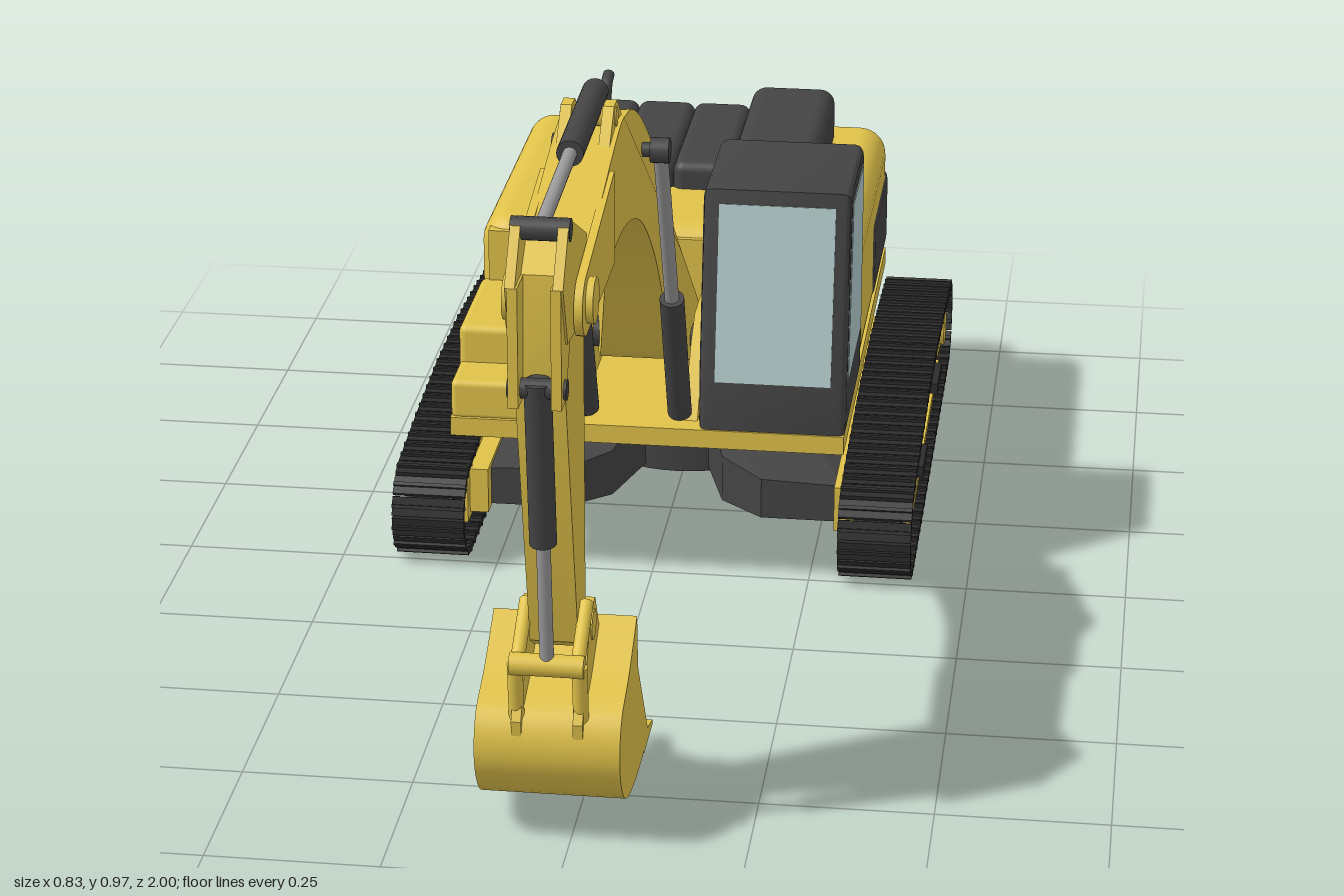
import * as THREE from 'three';
import { mergeGeometries, toCreasedNormals } from 'three/addons/utils/BufferGeometryUtils.js';
import { RoundedBoxGeometry } from 'three/addons/geometries/RoundedBoxGeometry.js';
import { ConvexGeometry } from 'three/addons/geometries/ConvexGeometry.js';

const mat = (color) => new THREE.MeshStandardMaterial({ color, side: THREE.DoubleSide });
const YELLOW = mat(0xe0c24a), DARK = mat(0x444444), BLACK = mat(0x2c2c2c), STEEL = mat(0x999999), GLASS = mat(0xb4cccc);
const CX = -0.027; // centre plane of the digging arm
const V = (x, y, z) => new THREE.Vector3(x, y, z);

export function createModel() {
  const root = new THREE.Group();
  const add = (name, geo, m, parent = root) => {
    const mesh = new THREE.Mesh(geo, m);
    mesh.name = name;
    parent.add(mesh);
    return mesh;
  };
  // Box given by its limits on each axis, optionally rounded
  const boxGeo = (x0, x1, y0, y1, z0, z1, r = 0) => {
    const s = [x1 - x0, y1 - y0, z1 - z0];
    const g = r ? new RoundedBoxGeometry(...s, 4, r) : new THREE.BoxGeometry(...s);
    return g.translate((x0 + x1) / 2, (y0 + y1) / 2, (z0 + z1) / 2);
  };
  const box = (name, m, ...a) => add(name, boxGeo(...a), m);
  // Side profile of [z, y] points extruded across x
  const sideGeo = (pts, x0, x1, bevel = 0, hole = null) => {
    const shape = new THREE.Shape(pts.map((p) => new THREE.Vector2(...p)));
    if (hole) shape.holes.push(new THREE.Path(hole.map((p) => new THREE.Vector2(...p))));
    const g = new THREE.ExtrudeGeometry(shape, {
      depth: x1 - x0 - 2 * bevel, bevelEnabled: bevel > 0, bevelSize: bevel,
      bevelThickness: bevel, bevelOffset: -bevel, bevelSegments: 3,
    });
    return toCreasedNormals(g.rotateY(-Math.PI / 2).translate(x1 - bevel, 0, 0), 0.5);
  };
  const side = (name, m, ...a) => add(name, sideGeo(...a), m);
  const spline = (pts, n) => new THREE.SplineCurve(pts.map((p) => new THREE.Vector2(...p))).getPoints(n).map((p) => [p.x, p.y]);
  // Round bar between two points
  const bar = (name, m, a, b, r, parent = root) => {
    const mesh = add(name, new THREE.CylinderGeometry(r, r, a.distanceTo(b), 20), m, parent);
    mesh.position.copy(a).add(b).multiplyScalar(0.5);
    mesh.quaternion.setFromUnitVectors(V(0, 1, 0), b.clone().sub(a).normalize());
    return mesh;
  };
  const pin = (name, m, x0, x1, y, z, r, parent) => bar(name, m, V(x0, y, z), V(x1, y, z), r, parent);

  // ---- Crawler tracks ----
  const beltPath = (r, top) => {
    const p = [];
    for (let i = 0; i <= 12; i++) { // front idler, bottom to top
      const a = -Math.PI / 2 + (i / 12) * Math.PI * 0.97;
      p.push([-0.04 + r * Math.cos(a), 0.083 + r * Math.sin(a)]);
    }
    p.push([-0.2, top - 0.012], [-0.38, top], [-0.58, top], [-0.76, top - 0.012]);
    for (let i = 0; i <= 12; i++) { // rear sprocket, top to bottom
      const a = Math.PI * 0.53 + (i / 12) * Math.PI * 0.97;
      p.push([-0.92 + r * Math.cos(a), 0.083 + r * Math.sin(a)]);
    }
    return p;
  };
  const shoeGeometry = (x0, x1) => {
    const path = new THREE.CurvePath(), p = beltPath(0.071, 0.182).map((q) => new THREE.Vector2(...q));
    p.forEach((q, i) => path.add(new THREE.LineCurve(q, p[(i + 1) % p.length])));
    const shoes = [], n = 66;
    for (let i = 0; i < n; i++) {
      const c = path.getPointAt(i / n), d = path.getPointAt(((i + 0.3) % n) / n).sub(c);
      const g = mergeGeometries([boxGeo(x0, x1, -0.004, 0.004, -0.0155, 0.0155), boxGeo(x0, x1, -0.009, 0.009, -0.003, 0.003)]);
      shoes.push(g.rotateX(-Math.atan2(d.y, d.x)).translate(0, c.y, c.x));
    }
    return mergeGeometries(shoes);
  };
  for (const s of [1, -1]) {
    const g = new THREE.Group();
    g.name = s > 0 ? 'leftTrack' : 'rightTrack';
    const span = (a, b) => (s > 0 ? [a, b] : [-b, -a]);
    add('trackShoes', shoeGeometry(...span(0.297, 0.413)), BLACK, g);
    add('trackChain', sideGeo(beltPath(0.068, 0.178), ...span(0.325, 0.385), 0, beltPath(0.055, 0.164)), DARK, g);
    const frame = [[-0.08, 0.035], [-0.08, 0.12], [-0.1, 0.128], [-0.83, 0.128], [-0.86, 0.115], [-0.86, 0.035]];
    add('trackFrame', sideGeo(frame, ...span(0.31, 0.385)), YELLOW, g);
    add('frameInnerWall', boxGeo(...span(0.28, 0.31), 0.045, 0.12, -0.85, -0.1), YELLOW, g);
    for (const y of [0.04, 0.118]) add('frameRail', boxGeo(...span(0.38, 0.4), y - 0.007, y + 0.007, -0.84, -0.09), YELLOW, g);
    for (const z of [-0.31, -0.665]) add('step', boxGeo(...span(0.38, 0.412), 0.075, 0.093, z - 0.048, z + 0.048), BLACK, g);
    for (const z of [-0.3, -0.62]) pin('carrierRoller', BLACK, ...span(0.32, 0.39), 0.145, z, 0.02, g);
    for (let i = 0; i < 8; i++) pin('trackRoller', BLACK, ...span(0.325, 0.385), 0.036, -0.14 - i * 0.093, 0.02, g);
    pin('idler', DARK, ...span(0.32, 0.392), 0.083, -0.04, 0.056, g);
    pin('sprocketHub', YELLOW, ...span(0.31, 0.405), 0.083, -0.92, 0.037, g);
    const teeth = [];
    for (let i = 0; i < 48; i++) {
      const a = (i / 48) * Math.PI * 2, r = i % 4 < 2 ? 0.06 : 0.05;
      teeth.push([-0.92 + r * Math.cos(a), 0.083 + r * Math.sin(a)]);
    }
    add('sprocket', sideGeo(teeth, ...span(0.33, 0.396)), YELLOW, g);
    root.add(g);
    // Sloped arms joining the centre ring to the track frame
    for (const f of [1, -1]) {
      const at = (x, y, dz) => V(s * x, y, -0.49 + f * dz);
      const plan = [[0.29, 0.36, 0.11], [0.16, 0.36, 0.115], [0.09, 0.3, 0.125], [0.05, 0.16, 0.16], [0.16, 0.05, 0.16], [0.29, 0.17, 0.11]];
      add('carBodyArm', new ConvexGeometry(plan.flatMap(([x, dz, top]) => [at(x, 0.048, dz), at(x, top, dz)])), DARK);
    }
  }

  // ---- Slewing ring, hollow in the middle ----
  const ring = [[0.155, 0.04], [0.175, 0.04], [0.185, 0.165], [0.23, 0.168], [0.23, 0.19], [0.21, 0.192], [0.21, 0.235], [0.25, 0.237], [0.25, 0.252], [0.155, 0.252], [0.155, 0.04]];
  const ringGeo = new THREE.LatheGeometry(ring.map((p) => new THREE.Vector2(...p)), 48);
  add('slewingRing', toCreasedNormals(ringGeo, 0.5), DARK).position.z = -0.49;

  // ---- Upper structure ----
  box('deck', YELLOW, -0.31, 0.307, 0.25, 0.28, -0.77, 0.065);
  box('house', YELLOW, -0.31, 0.305, 0.255, 0.503, -0.79, -0.225, 0.045);
  box('houseFront', YELLOW, -0.295, 0.295, 0.27, 0.485, -0.3, -0.225);
  box('rearPanel', DARK, -0.312, 0.308, 0.28, 0.43, -0.793, -0.49, 0.025);
  box('lowerStep', YELLOW, -0.31, -0.14, 0.275, 0.34, -0.24, 0.06, 0.01);
  box('upperStep', YELLOW, -0.31, -0.13, 0.275, 0.4, -0.24, -0.02, 0.012);
  for (const x of [-0.13, 0.055]) side('boomFootBracket', YELLOW, [[-0.23, 0.28], [0.03, 0.28], [-0.05, 0.38], [-0.1, 0.41], [-0.23, 0.41]], x, x + 0.02);
  for (let i = 0; i < 3; i++) box('engineCover', DARK, -0.21 + i * 0.095, -0.113 + i * 0.095, 0.48, 0.548, -0.73, -0.41, 0.018);
  box('engineCoverBase', DARK, -0.205, 0.07, 0.49, 0.535, -0.72, -0.42, 0.012);
  box('airIntakeCover', DARK, 0.08, 0.22, 0.47, 0.583, -0.73, -0.34, 0.025);
  for (const [x, z, r, y] of [[-0.163, -0.325, 0.036, 0.553], [0.155, -0.29, 0.028, 0.57]]) {
    bar('fillerNeck', DARK, V(x, 0.49, z), V(x, y - 0.02, z), r * 0.75);
    bar('fillerCap', DARK, V(x, y - 0.025, z), V(x, y, z), r);
  }
  const pipe = new THREE.CatmullRomCurve3([V(-0.165, 0.52, -0.66), V(-0.165, 0.57, -0.662), V(-0.165, 0.59, -0.675), V(-0.165, 0.598, -0.7)]);
  add('exhaust', new THREE.TubeGeometry(pipe, 16, 0.01, 12), DARK);

  // ---- Cab ----
  side('cab', DARK, [[-0.225, 0.275], [0.062, 0.275], [0.062, 0.35], [0.006, 0.658], [-0.225, 0.658]], 0.08, 0.309, 0.014);
  for (const x of [0.0785, 0.3065]) side('sideWindow', GLASS, [[-0.2, 0.36], [0.036, 0.36], [-0.014, 0.635], [-0.2, 0.635]], x, x + 0.004);
  const screen = add('windscreen', new THREE.BoxGeometry(0.18, 0.28, 0.006), GLASS);
  screen.position.set(0.195, 0.4975, 0.034);
  screen.rotation.x = -Math.atan2(0.056, 0.308);
  box('rearWindow', GLASS, 0.11, 0.28, 0.5, 0.63, -0.228, -0.22);

  // ---- Boom, flared at its foot ----
  const upper = spline([[0.8, 0.852], [0.515, 0.918], [0.42, 0.917], [0.35, 0.9], [0.25, 0.85], [0.14, 0.775], [0.06, 0.7], [0, 0.625], [-0.09, 0.5], [-0.185, 0.37]], 40);
  const lower = spline([[-0.16, 0.32], [-0.1, 0.33], [-0.03, 0.42], [0.03, 0.5], [0.11, 0.585], [0.22, 0.67], [0.33, 0.725], [0.46, 0.757], [0.6, 0.76], [0.76, 0.76]], 40);
  const boomGeo = sideGeo([...upper, ...lower], CX - 0.045, CX + 0.045);
  const pos = boomGeo.attributes.position;
  for (let i = 0; i < pos.count; i++) {
    const k = 1 + 0.9 * THREE.MathUtils.clamp((0.02 - pos.getZ(i)) / 0.2, 0, 1);
    pos.setX(i, CX + (pos.getX(i) - CX) * k);
  }
  add('boom', toCreasedNormals(boomGeo, 0.5), YELLOW);
  pin('boomFootPin', DARK, -0.13, 0.075, 0.355, -0.14, 0.025);
  const noseArc = Array.from({ length: 11 }, (_, i) => {
    const a = -Math.PI / 2 + (i / 10) * Math.PI;
    return [0.872 + 0.043 * Math.cos(a), 0.803 + 0.043 * Math.sin(a)];
  });
  for (const s of [1, -1]) {
    const slab = (name, pts, d0, d1) => side(name, YELLOW, pts, CX + Math.min(s * d0, s * d1), CX + Math.max(s * d0, s * d1));
    slab('boomFork', [...noseArc, [0.6, 0.895], [0.6, 0.76]], 0.04, 0.052);
    slab('armCylinderBracket', [[0.56, 0.9], [0.5, 0.955], [0.47, 0.955], [0.4, 0.9]], 0.022, 0.038);
    slab('stickTopPlate', [[0.78, 0.87], [0.92, 0.94], [0.945, 0.938], [0.998, 0.87], [0.96, 0.78], [0.8, 0.76]], 0.025, 0.039);
    slab('bucketCylinderBracket', [[0.998, 0.87], [0.998, 0.7], [0.96, 0.7], [0.9, 0.8], [0.92, 0.87]], 0.022, 0.036);
    slab('bucketEar', [[0.75, 0.26], [0.795, 0.335], [0.84, 0.335], [0.925, 0.2], [0.92, 0.15], [0.84, 0.2]], 0.036, 0.05);
    bar('bucketLink', YELLOW, V(CX + s * 0.045, 0.285, 0.915), V(CX + s * 0.045, 0.17, 0.9), 0.011);
    bar('stickLink', YELLOW, V(CX + s * 0.042, 0.285, 0.915), V(CX + s * 0.042, 0.34, 0.825), 0.01);
    // Boom lift cylinders
    const x = CX + s * 0.073;
    bar('liftCylinder', DARK, V(x, 0.29, 0.02), V(x, 0.52, 0.122), 0.019);
    bar('liftRod', STEEL, V(x, 0.51, 0.118), V(x, 0.81, 0.262), 0.011);
    pin('liftRodEye', DARK, x - 0.014, x + 0.014, 0.808, 0.261, 0.019);
  }
  pin('liftPin', DARK, CX - 0.085, CX + 0.085, 0.808, 0.261, 0.011);
  pin('forkPin', YELLOW, CX - 0.062, CX + 0.062, 0.803, 0.855, 0.032);

  // ---- Stick ----
  side('stick', YELLOW, [[0.78, 0.86], [0.9, 0.905], [0.945, 0.87], [0.955, 0.72], [0.85, 0.29], [0.82, 0.27], [0.78, 0.29]], CX - 0.034, CX + 0.034);

  // ---- Arm and bucket cylinders ----
  bar('armCylinder', DARK, V(CX, 0.95, 0.42), V(CX, 0.943, 0.67), 0.019);
  bar('armRod', STEEL, V(CX, 0.943, 0.66), V(CX, 0.932, 0.93), 0.01);
  pin('armRodPin', DARK, CX - 0.04, CX + 0.04, 0.93, 0.93, 0.016);
  pin('armCylinderPin', YELLOW, CX - 0.04, CX + 0.04, 0.935, 0.485, 0.014);
  bar('bucketCylinder', DARK, V(CX, 0.73, 0.972), V(CX, 0.48, 0.938), 0.019);
  bar('bucketRod', STEEL, V(CX, 0.49, 0.938), V(CX, 0.285, 0.915), 0.01);
  pin('bucketCylinderPin', DARK, CX - 0.04, CX + 0.04, 0.72, 0.972, 0.014);
  pin('linkPin', YELLOW, CX - 0.052, CX + 0.052, 0.285, 0.915, 0.016);
  pin('linkLowerPin', YELLOW, CX - 0.052, CX + 0.052, 0.18, 0.9, 0.014);
  pin('bucketPin', YELLOW, CX - 0.052, CX + 0.052, 0.305, 0.82, 0.022);

  // ---- Bucket: curved shell, side plates and teeth ----
  const bx0 = CX - 0.102, bx1 = CX + 0.102;
  const outer = spline([[0.745, 0.285], [0.83, 0.235], [0.91, 0.2], [0.925, 0.13], [0.87, 0.062], [0.76, 0.036], [0.62, 0.036]], 32);
  const inner = spline([[0.745, 0.27], [0.825, 0.222], [0.895, 0.188], [0.908, 0.135], [0.862, 0.076], [0.76, 0.05], [0.63, 0.046]], 32);
  side('bucketShell', YELLOW, [...outer, ...inner.reverse()], bx0, bx1);
  for (const x of [bx0, bx1 - 0.01]) side('bucketSide', YELLOW, [...outer, [0.665, 0.1], [0.735, 0.2]], x, x + 0.01);
  for (let i = 0; i < 5; i++) {
    const x = bx0 + i * 0.0445;
    side('bucketTooth', YELLOW, [[0.67, 0.03], [0.67, 0.054], [0.64, 0.054], [0.575, 0.036], [0.575, 0.029]], x, x + 0.026);
  }
  return root;
}
